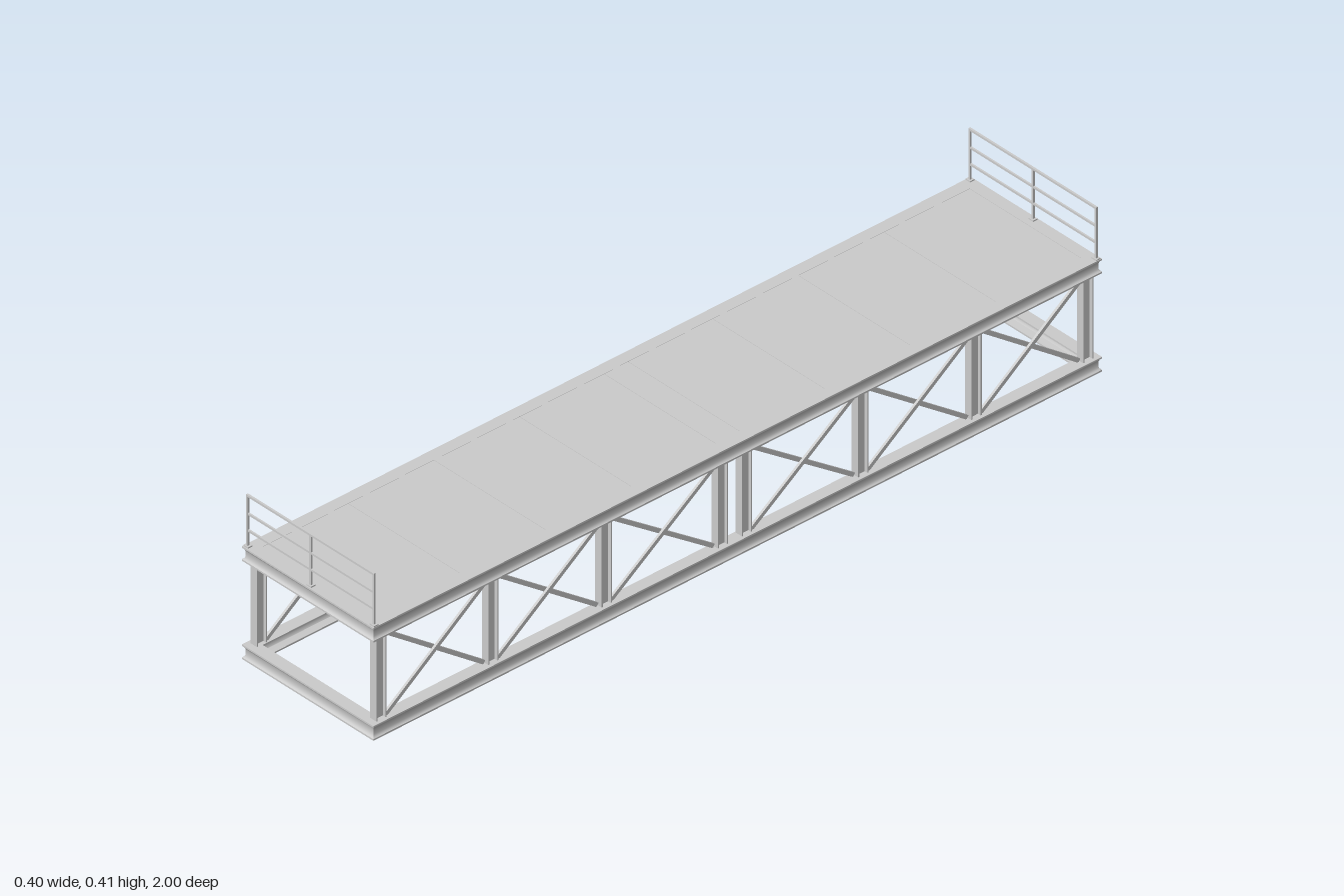
import * as THREE from 'three';
import { toCreasedNormals } from 'three/addons/utils/BufferGeometryUtils.js';

const HX = 0.2, HZ = 1, BEAM = 0.036, UPPER = 0.242;
const material = new THREE.MeshStandardMaterial({ color: 0xcccccc });

function add(parent, name, geometry, x = 0, y = 0, z = 0) {
  const mesh = new THREE.Mesh(geometry, material);
  mesh.name = name;
  mesh.position.set(x, y, z);
  parent.add(mesh);
  return mesh;
}

function box(parent, name, w, h, d, x, y, z) {
  return add(parent, name, new THREE.BoxGeometry(w, h, d), x, y, z);
}

// Flanged beam section (inset from outer edge, height), swept round a mitred rectangle
function frameGeometry() {
  const half = [[0, 0], [0, 0.004], [0.003, 0.006], [0.005, 0.011]];
  const inner = [[0.01, 0.011], [0.013, 0.006], [0.03, 0.004], [0.03, 0]];
  const flip = (pts) => pts.map(([d, y]) => [d, BEAM - y]).reverse();
  const profile = [...half, ...flip(half), ...flip(inner), ...inner];
  const corners = [[-1, 1], [1, 1], [1, -1], [-1, -1]];
  const n = profile.length, pos = [], index = [];
  for (const [sx, sz] of corners)
    for (const [d, y] of profile) pos.push(sx * (HX - d), y, sz * (HZ - d));
  for (let i = 0; i < 4; i++)
    for (let j = 0; j < n; j++) {
      const a = i * n + j, b = ((i + 1) % 4) * n + j;
      const d = i * n + ((j + 1) % n), c = ((i + 1) % 4) * n + ((j + 1) % n);
      index.push(a, b, c, a, c, d);
    }
  const g = new THREE.BufferGeometry();
  g.setAttribute('position', new THREE.Float32BufferAttribute(pos, 3));
  g.setIndex(index);
  return toCreasedNormals(g, 0.75);
}

// H-section with flanges across the depth direction, extruded along z
function hSection(width, depth, t, length) {
  const w = width / 2, d = depth / 2, k = t / 2;
  const pts = [[-w, -d], [w, -d], [w, -d + t], [k, -d + t], [k, d - t], [w, d - t],
    [w, d], [-w, d], [-w, d - t], [-k, d - t], [-k, -d + t], [-w, -d + t]];
  const shape = new THREE.Shape(pts.map(([x, y]) => new THREE.Vector2(x, y)));
  const g = new THREE.ExtrudeGeometry(shape, { depth: length, bevelEnabled: false });
  return g.translate(0, 0, -length / 2);
}

function createRailing(side) {
  const railing = new THREE.Group();
  railing.name = side > 0 ? 'frontRailing' : 'backRailing';
  const z = side * 0.991, base = UPPER + BEAM;
  for (const x of [-0.192, 0, 0.192]) {
    box(railing, 'railPost', 0.005, 0.127, 0.005, x, base + 0.0635, z);
    box(railing, 'railFoot', 0.014, 0.003, 0.012, x, base + 0.0015, z);
  }
  box(railing, 'topRail', 0.389, 0.005, 0.005, 0, 0.4035, z);
  for (const y of [0.318, 0.359])
    box(railing, 'middleRail', 0.384, 0.005, 0.004, 0, y, z);
  return railing;
}

export function createModel() {
  const model = new THREE.Group();
  model.name = 'trussPlatform';

  // Lower and upper beam frames
  const frame = frameGeometry();
  add(model, 'lowerFrame', frame);
  add(model, 'upperFrame', frame, 0, UPPER, 0);

  // Columns and crossed braces along both long sides
  const clear = UPPER - BEAM, midY = (UPPER + BEAM) / 2;
  const columnZ = [0.033, 0.352, 0.663, 0.97];
  const column = hSection(0.02, 0.028, 0.003, clear).rotateX(Math.PI / 2);
  for (const sx of [-1, 1])
    for (const sz of [-1, 1]) {
      const x = sx * 0.182;
      columnZ.forEach((z, i) => {
        add(model, 'column', column, x, midY, sz * z);
        if (i === 0) return;
        const span = z - columnZ[i - 1] - 0.026;
        const centre = (z + columnZ[i - 1]) / 2;
        const length = Math.hypot(span, clear) - 0.008;
        for (const dir of [-1, 1]) {
          const brace = box(model, 'brace', 0.006, 0.01, length, x + dir * 0.003, midY, sz * centre);
          brace.rotation.x = dir * Math.atan2(clear, span);
        }
      });
    }

  // Cross beams carrying the deck
  const crossBeam = hSection(0.022, 0.026, 0.003, 0.376).rotateY(Math.PI / 2);
  for (const sz of [-1, 1])
    for (const z of columnZ.slice(0, 3))
      add(model, 'crossBeam', crossBeam, 0, 0.258, sz * z);

  // Deck panels with narrow seams, set inside the upper frame
  const seams = [-0.97, -0.735, -0.5, -0.265, -0.033, 0.033, 0.265, 0.5, 0.735, 0.97];
  for (let i = 1; i < seams.length; i++) {
    const depth = seams[i] - seams[i - 1] - 0.001;
    box(model, 'deckPanel', 0.341, 0.006, depth, 0, 0.2745, (seams[i] + seams[i - 1]) / 2);
  }

  // End railings
  model.add(createRailing(1), createRailing(-1));
  return model;
}
